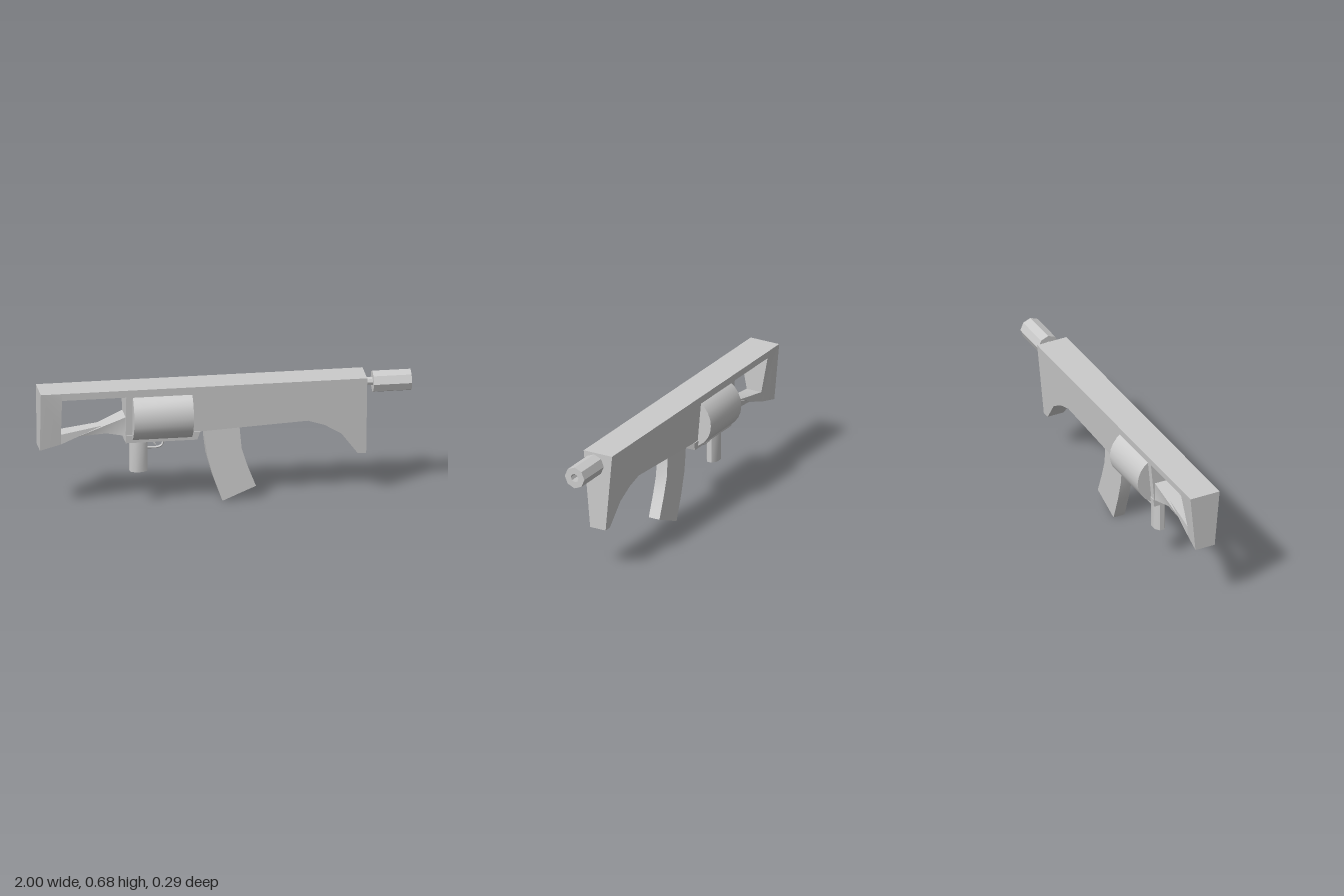
import * as THREE from 'three';
import { toCreasedNormals } from 'three/addons/utils/BufferGeometryUtils.js';

const material = new THREE.MeshStandardMaterial({ color: 0xcccccc });

// Half thickness of the body: wide on top, narrowing downwards
const taper = (x, y) => 0.0875 - (0.67 - y) * 0.092;

export function createModel() {
  const group = new THREE.Group();

  const add = (name, geometry, x = 0, y = 0, z = 0) => {
    const mesh = new THREE.Mesh(toCreasedNormals(geometry, 0.7), material);
    mesh.name = name;
    mesh.position.set(x, y, z);
    group.add(mesh);
    return mesh;
  };

  // Side outline given thickness by a rule
  const slab = (name, points, halfWidth) => {
    const shape = new THREE.Shape(points.map(([x, y]) => new THREE.Vector2(x, y)));
    const geometry = new THREE.ExtrudeGeometry(shape, { depth: 1, bevelEnabled: false });
    const p = geometry.attributes.position;
    for (let i = 0; i < p.count; i++) {
      p.setZ(i, (p.getZ(i) > 0.5 ? 1 : -1) * halfWidth(p.getX(i), p.getY(i)));
    }
    return add(name, geometry);
  };

  // Turned part along x, from [radius, x] pairs
  const turned = (name, profile, sides, y) => {
    const geometry = new THREE.LatheGeometry(
      profile.map(([r, x]) => new THREE.Vector2(r, x)), sides);
    geometry.rotateZ(-Math.PI / 2);
    return add(name, geometry, 0, y, 0);
  };

  // Receiver with the forend and front hand stop
  slab('receiver', [
    [-0.54, 0.67], [-0.54, 0.38], [-0.15, 0.38], [-0.14, 0.41], [0.2, 0.428], [0.44, 0.44],
    [0.53, 0.41], [0.62, 0.355], [0.71, 0.235], [0.755, 0.235], [0.755, 0.67],
  ], taper);

  // Open shoulder stock: top rail, butt and slim lower strut
  slab('stockRail', [[-0.885, 0.67], [-0.885, 0.63], [-0.54, 0.63], [-0.54, 0.67]], taper);
  slab('stockButt', [
    [-1, 0.67], [-1, 0.345], [-0.885, 0.37], [-0.885, 0.425], [-0.885, 0.63], [-0.885, 0.67],
  ], (x, y) => (x > -0.9 && y < 0.6 ? 0.045 : taper(x, y)));
  slab('stockStrut', [
    [-0.885, 0.425], [-0.885, 0.37], [-0.79, 0.405], [-0.64, 0.415],
    [-0.54, 0.405], [-0.54, 0.51], [-0.66, 0.46],
  ], (x) => (x > -0.6 ? 0.06 : x < -0.85 ? 0.045 : 0.032));

  // Plate under the receiver that carries the grip and trigger
  slab('lowerPlate', [[-0.54, 0.41], [-0.54, 0.365], [-0.155, 0.365], [-0.14, 0.41]],
    (x, y) => taper(x, y) + 0.005);

  // Drum lying through the receiver
  turned('drum', [[0, -0.505], [0.145, -0.505], [0.145, -0.185], [0, -0.185]], 24, 0.51);

  // Barrel and hollow muzzle
  turned('barrel', [[0.023, 0.74], [0.023, 0.81]], 8, 0.622);
  turned('muzzle', [
    [0, 0.795], [0.06, 0.795], [0.06, 1], [0.023, 1], [0.023, 0.93], [0, 0.93],
  ], 8, 0.62);

  // Curved magazine
  slab('magazine', [
    [-0.115, 0.43], [-0.11, 0.36], [-0.098, 0.26], [-0.065, 0.14], [-0.015, 0],
    [0.165, 0.075], [0.12, 0.19], [0.088, 0.29], [0.075, 0.43],
  ], () => 0.033);

  // Eight-sided grip
  const grip = new THREE.CylinderGeometry(0.051, 0.051, 0.2, 8);
  grip.rotateY(Math.PI / 8);
  grip.scale(1, 1, 0.68);
  add('grip', grip, -0.4625, 0.285);

  // Trigger and guard
  const bent = (name, points, radius) => {
    const path = new THREE.CatmullRomCurve3(
      points.map(([x, y]) => new THREE.Vector3(x, y, 0)), false, 'centripetal');
    add(name, new THREE.TubeGeometry(path, 16, radius, 6));
  };
  bent('triggerGuard', [[-0.42, 0.313], [-0.36, 0.313], [-0.338, 0.322], [-0.33, 0.34], [-0.33, 0.37]], 0.006);
  bent('trigger', [[-0.392, 0.37], [-0.383, 0.345], [-0.37, 0.327]], 0.005);

  return group;
}
